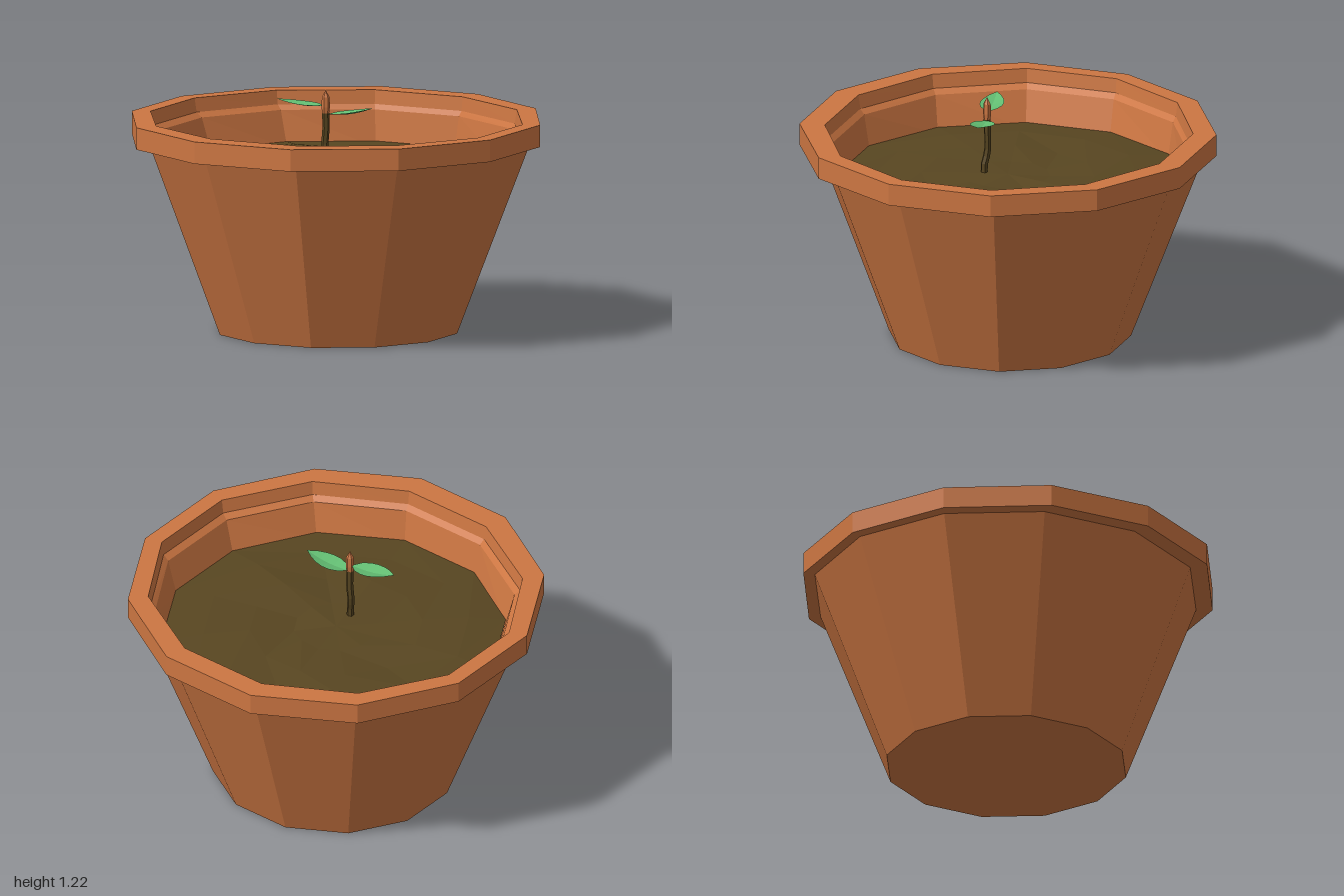
import * as THREE from 'three';

const SIDES = 12;
const mat = (name, color, extra = {}) =>
  Object.assign(new THREE.MeshStandardMaterial({ color, flatShading: true, ...extra }), { name });

// Twelve-sided lathe; each ring is [radius, y, zScale, zShift]
function ringLathe(rings) {
  const pts = rings.map(([r, y]) => new THREE.Vector2(r, y));
  const geo = new THREE.LatheGeometry(pts, SIDES, Math.PI / SIDES);
  const pos = geo.attributes.position;
  for (let i = 0; i < pos.count; i++) {
    const [, , scale = 1, shift = 0] = rings[i % rings.length];
    pos.setZ(i, pos.getZ(i) * scale + shift);
  }
  geo.computeVertexNormals();
  return geo;
}

// Small seeded random source for the soil lumps
function seeded(seed) {
  return () => (seed = (seed * 16807) % 2147483647) / 2147483647;
}

// Pointed leaf along +x, folded along its vein
function leafGeometry(length, halfWidth) {
  const geo = new THREE.PlaneGeometry(1, 2, 6, 2);
  geo.rotateX(-Math.PI / 2);
  const pos = geo.attributes.position;
  for (let i = 0; i < pos.count; i++) {
    const t = pos.getX(i) + 0.5;
    const side = pos.getZ(i);
    const w = halfWidth * Math.pow(Math.sin(Math.PI * Math.pow(t, 0.85)), 0.8) || 0;
    pos.setXYZ(i, t * length, Math.abs(side) * w * 0.22 - 0.014 * Math.sin(Math.PI * t), side * w);
  }
  geo.computeVertexNormals();
  return geo;
}

export function createModel() {
  const group = new THREE.Group();
  const clay = mat('terracotta', 0xcc7642);
  const earth = mat('soil brown', 0x584621);
  const green = mat('leaf green', 0x63be73, { side: THREE.DoubleSide });
  const add = (name, geo, material, parent = group) => {
    const mesh = new THREE.Mesh(geo, material);
    mesh.name = name;
    parent.add(mesh);
    return mesh;
  };

  // Pot: base, tapered wall, rim and inside wall in one profile
  add('pot', ringLathe([
    [0, 0, 1, -0.01],
    [0.61, 0, 0.985, -0.01],
    [0.973, 0.95, 0.985, -0.015],
    [1.035, 0.95],
    [1.035, 1.06],
    [0.947, 1.06, 0.962, -0.005],
    [0.935, 0.99, 0.964, -0.007],
    [0.905, 0.965, 0.975, -0.012],
    [0.846, 0.78, 1.01, -0.02],
  ]), clay);

  // Soil: rings with slight lumps
  const soilGeo = ringLathe([
    [0.853, 0.81, 1.01, -0.02],
    [0.66, 0.815],
    [0.43, 0.82],
    [0.21, 0.825],
    [0, 0.825],
  ]);
  const rand = seeded(71);
  const lumps = Array.from({ length: SIDES * 5 }, () => (rand() - 0.5) * 0.035);
  const sp = soilGeo.attributes.position;
  for (let i = 0; i < sp.count; i++) {
    const ring = i % 5;
    const seg = Math.floor(i / 5) % SIDES;
    if (ring > 0 && ring < 4) sp.setY(i, sp.getY(i) + lumps[seg * 5 + ring]);
  }
  soilGeo.computeVertexNormals();
  add('soil', soilGeo, earth);

  // Sprout: bent lower stem, straight upper stem and pointed bud
  const sprout = new THREE.Group();
  sprout.name = 'sprout';
  sprout.position.set(0, 0, 0.11);
  group.add(sprout);
  const path = new THREE.CatmullRomCurve3([
    new THREE.Vector3(0.005, 0.79, 0.01),
    new THREE.Vector3(0.008, 0.86, 0.012),
    new THREE.Vector3(-0.006, 0.93, 0),
    new THREE.Vector3(0, 1.02, -0.003),
    new THREE.Vector3(0, 1.1, 0),
  ]);
  add('lowerStem', new THREE.TubeGeometry(path, 8, 0.018, 6), earth, sprout);
  const bud = [[0.016, 1.09], [0.021, 1.13], [0.019, 1.18], [0, 1.215]];
  add('bud', new THREE.LatheGeometry(bud.map(([r, y]) => new THREE.Vector2(r, y)), 6), clay, sprout);

  // Pair of leaves
  const leaves = [
    ['leftLeaf', 0.24, 1.095, 0.155, 0.17],
    ['rightLeaf', 0.245, 1.135, Math.PI + 0.155, 0.1],
  ];
  for (const [name, length, y, turn, lift] of leaves) {
    const leaf = add(name, leafGeometry(length, 0.06), green, sprout);
    leaf.rotation.set(0, turn, lift, 'YXZ');
    leaf.position.set(name === 'leftLeaf' ? 0.01 : -0.01, y, 0);
  }
  return group;
}
